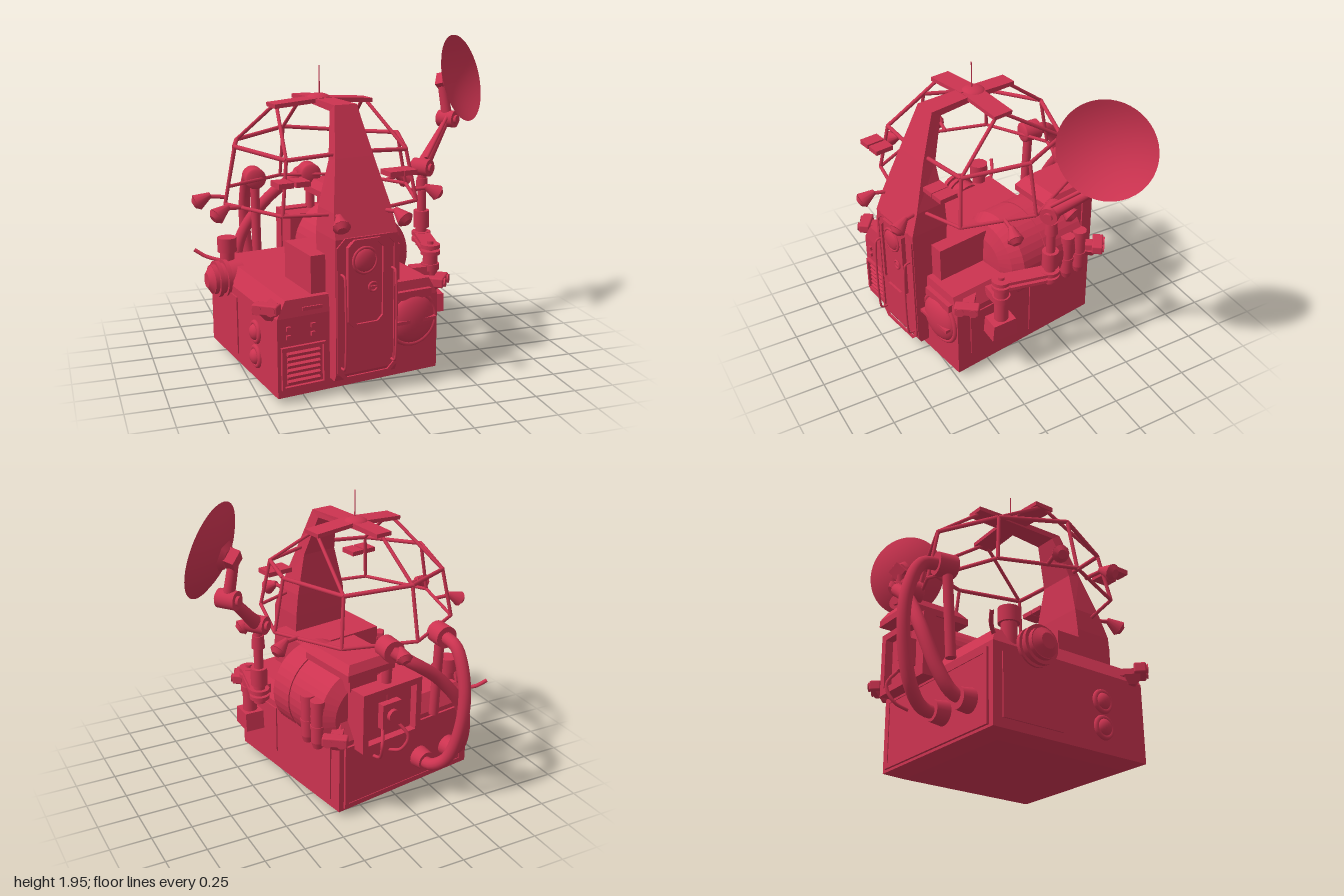
import * as THREE from 'three';
import { RoundedBoxGeometry } from 'three/addons/geometries/RoundedBoxGeometry.js';

const red = new THREE.MeshStandardMaterial({ color: 0xcc3350 });
const redThin = new THREE.MeshStandardMaterial({ color: 0xcc3350, side: THREE.DoubleSide });
const V = (x, y, z) => new THREE.Vector3(x, y, z);
const UP = V(0, 1, 0);

function add(parent, name, geo, pos = [0, 0, 0], rot = [0, 0, 0], mat = red) {
  const m = new THREE.Mesh(geo, mat);
  m.name = name;
  m.position.set(...pos);
  m.rotation.set(...rot);
  parent.add(m);
  return m;
}
const box = (p, name, size, pos, rot) => add(p, name, new THREE.BoxGeometry(...size), pos, rot);
// cylinder or cone between two points
function rod(p, name, a, b, r1, r2 = r1, sides = 20) {
  const d = V(...b).sub(V(...a));
  const m = add(p, name, new THREE.CylinderGeometry(r2, r1, d.length(), sides));
  m.position.copy(V(...a)).addScaledVector(d, 0.5);
  m.quaternion.setFromUnitVectors(UP, d.normalize());
  return m;
}
function pipe(p, name, pts, r, seg = 40) {
  const curve = new THREE.CatmullRomCurve3(pts.map(q => V(...q)));
  return add(p, name, new THREE.TubeGeometry(curve, seg, r, 14));
}
// loft of four-cornered sections: [outer z, outer y, inner z, inner y, half width]
function loft(sections) {
  const pos = [], idx = [], n = sections.length;
  for (const [zo, yo, zi, yi, w] of sections) pos.push(-w, yo, zo, w, yo, zo, w, yi, zi, -w, yi, zi);
  for (let i = 0; i < n - 1; i++) for (let k = 0; k < 4; k++) {
    const a = i * 4 + k, b = i * 4 + (k + 1) % 4;
    idx.push(a, b, b + 4, a, b + 4, a + 4);
  }
  const e = (n - 1) * 4;
  idx.push(0, 2, 1, 0, 3, 2, e, e + 1, e + 2, e, e + 2, e + 3);
  let g = new THREE.BufferGeometry();
  g.setAttribute('position', new THREE.Float32BufferAttribute(pos, 3));
  g.setIndex(idx);
  g = g.toNonIndexed();
  g.computeVertexNormals();
  return g;
}
// rectangular frame made of four bars, facing z
function frame(p, name, w, h, t, d, x, y, z) {
  for (const s of [-1, 1]) {
    box(p, name, [w, t, d], [x, y + s * (h - t) / 2, z]);
    box(p, name, [t, h, d], [x + s * (w - t) / 2, y, z]);
  }
}
// flat plate with cut corners, facing z
function cutPlate(w, h, c, depth, rim) {
  const outline = (s, w, h, c) => {
    const a = w / 2, b = h / 2;
    [[-a + c, -b], [a - c, -b], [a, -b + c], [a, b - c], [a - c, b], [-a + c, b], [-a, b - c], [-a, -b + c]]
      .forEach(([x, y], i) => i ? s.lineTo(x, y) : s.moveTo(x, y));
    s.closePath();
    return s;
  };
  const shape = outline(new THREE.Shape(), w, h, c);
  if (rim) shape.holes.push(outline(new THREE.Path(), w - 2 * rim, h - 2 * rim, c * 0.8));
  return new THREE.ExtrudeGeometry(shape, { depth, bevelEnabled: false });
}

function buildHull(g) {
  add(g, 'hull', loft([[0.44, 0, -0.44, 0, 0.43], [0.53, 0.035, -0.53, 0.035, 0.515],
    [0.53, 0.5, -0.53, 0.5, 0.515], [0.52, 0.6, -0.47, 0.6, 0.46]]));
  box(g, 'cabBlock', [0.57, 0.24, 0.36], [0, 0.7, 0.3]);
  // side and back panels
  box(g, 'sidePanel', [0.012, 0.31, 0.31], [0.517, 0.305, 0.28]);
  box(g, 'sidePanel', [0.012, 0.41, 0.42], [0.517, 0.295, -0.24]);
  box(g, 'sidePanel', [0.012, 0.36, 0.4], [-0.517, 0.27, -0.27]);
  box(g, 'backPanel', [0.9, 0.36, 0.02], [0, 0.26, -0.53]);
  frame(g, 'backFrame', 0.96, 0.42, 0.03, 0.03, 0, 0.26, -0.53);
  // front vent
  frame(g, 'ventFrame', 0.27, 0.25, 0.015, 0.03, -0.36, 0.21, 0.535);
  for (let i = 0; i < 6; i++) box(g, 'ventSlat', [0.2, 0.018, 0.03], [-0.36, 0.125 + i * 0.033, 0.532], [0.4, 0, 0]);
  for (const x of [-0.45, -0.3]) for (const y of [0.39, 0.44]) box(g, 'button', [0.025, 0.025, 0.02], [x, y, 0.535]);
  box(g, 'frontSlot', [0.12, 0.02, 0.02], [-0.3, 0.54, 0.525]);
  // round front port
  add(g, 'frontPort', new THREE.SphereGeometry(0.15, 32, 20), [0.34, 0.37, 0.53]).scale.z = 0.42;
  add(g, 'frontPortRing', new THREE.TorusGeometry(0.155, 0.015, 10, 40), [0.34, 0.37, 0.535]);
  box(g, 'frontPortBand', [0.27, 0.02, 0.06], [0.34, 0.37, 0.56]);
  box(g, 'frontPortHood', [0.24, 0.05, 0.05], [0.34, 0.52, 0.53]);
  // side portholes
  for (const y of [0.18, 0.33]) {
    add(g, 'sidePortRing', new THREE.TorusGeometry(0.055, 0.016, 10, 28), [-0.517, y, 0.22], [0, Math.PI / 2, 0]);
    add(g, 'sidePort', new THREE.SphereGeometry(0.05, 20, 14), [-0.517, y, 0.22]).scale.x = 0.8;
  }
}

function buildTower(g) {
  add(g, 'tower', loft([[0.59, 0.1, 0.4, 0.1, 0.195], [0.61, 0.14, 0.4, 0.14, 0.195], [0.61, 0.93, 0.36, 0.93, 0.195],
    [0.56, 1.07, 0.36, 1.07, 0.18], [0.46, 1.35, 0.375, 1.33, 0.12], [0.35, 1.63, 0.29, 1.59, 0.07],
    [-0.02, 1.635, -0.02, 1.6, 0.055], [-0.27, 1.625, -0.27, 1.6, 0.055]]));
  for (const s of [-1, 1]) box(g, 'roofWing', [0.31, 0.025, 0.13], [s * 0.16, 1.615, 0.02], [0, 0, -s * 0.07]);
  add(g, 'roofDome', new THREE.SphereGeometry(0.075, 24, 8, 0, Math.PI * 2, 0, Math.PI / 2), [0, 1.62, 0]).scale.y = 0.5;
  rod(g, 'whipAntenna', [0, 1.64, 0.01], [0, 1.82, 0.01], 0.004, 0.003, 8);
  // door
  add(g, 'doorSurround', cutPlate(0.38, 0.83, 0.05, 0.012, 0.02), [0, 0.52, 0.608]);
  add(g, 'doorFrame', cutPlate(0.24, 0.51, 0.04, 0.03, 0.022), [-0.01, 0.67, 0.608]);
  add(g, 'door', cutPlate(0.2, 0.47, 0.035, 0.015), [-0.01, 0.67, 0.608]);
  add(g, 'doorWindow', new THREE.SphereGeometry(0.07, 28, 16), [-0.02, 0.8, 0.62]).scale.z = 0.4;
  add(g, 'doorWindowRing', new THREE.TorusGeometry(0.073, 0.009, 8, 32), [-0.02, 0.8, 0.625]);
  add(g, 'doorHandleRing', new THREE.TorusGeometry(0.026, 0.007, 8, 20), [0.03, 0.64, 0.628]);
  box(g, 'doorHandle', [0.05, 0.01, 0.012], [0.03, 0.64, 0.628]);
  for (const s of [-1, 1]) {
    const x = s * 0.16;
    pipe(g, 'handrail', [[x, 0.18, 0.6], [x, 0.185, 0.65], [x, 0.22, 0.66], [x, 0.68, 0.66], [x, 0.725, 0.65], [x, 0.73, 0.6]], 0.007);
  }
  // small louvre plates beside the tower
  for (const x of [-0.44, -0.34, 0.24, 0.33]) box(g, 'sidePlate', [0.085, 0.03, 0.12], [x, 1.24, 0.46]);
}

function buildCage(g) {
  const at = (i, r, y) => { const a = i * Math.PI / 4; return [Math.sin(a) * r, y, Math.cos(a) * r]; };
  const lower = i => at(i, 0.6, 1.05);
  const upper = i => at(i, 0.535, i % 2 ? 1.35 : 1.38);
  // seven corners, open at the front where the rails meet the tower
  for (let i = 1; i < 8; i++) {
    if (i < 7) {
      rod(g, 'lowerRail', lower(i), lower(i + 1), 0.011, 0.011, 8);
      rod(g, 'upperRail', upper(i), upper(i + 1), 0.013, 0.013, 8);
    }
    rod(g, 'cageStrut', lower(i), upper(i), 0.011, 0.011, 8);
  }
  for (const [i, s] of [[1, 1], [7, -1]]) {
    rod(g, 'lowerRail', lower(i), [s * 0.16, 1.05, 0.5], 0.011, 0.011, 8);
    rod(g, 'upperRail', upper(i), [s * 0.11, 1.37, 0.42], 0.013, 0.013, 8);
  }
  // struts up to the wing tips and the rear end of the roof
  for (const [i, x, z] of [[1, 0.29, 0.05], [3, 0.29, 0], [7, -0.29, 0.05], [5, -0.29, 0], [4, 0, -0.25]])
    rod(g, 'roofStrut', upper(i), [x, 1.6, z], 0.011, 0.011, 8);
  // lamps around the lower rail
  for (const a of [-1.35, -1.86, 1.83, 1.25, 0.26, -0.28, 2.88]) {
    const p = (r, y) => [Math.sin(a) * r, y, Math.cos(a) * r];
    rod(g, 'lampArm', p(0.55, 1.05), p(0.66, 1.06), 0.012, 0.012, 8);
    rod(g, 'lampCone', p(0.65, 1.07), p(0.73, 1.025), 0.016, 0.05, 12);
    rod(g, 'lampLens', p(0.73, 1.025), p(0.75, 1.012), 0.05, 0.025, 12);
  }
}

function buildMachinery(g) {
  // big drum lying front to back
  const profile = [[0, 0.16], [0.14, 0.15], [0.23, 0.12], [0.28, 0.06], [0.28, -0.1], [0.272, -0.1], [0.272, -0.12],
    [0.28, -0.12], [0.28, -0.42], [0.2, -0.47], [0, -0.47]].reverse().map(([r, y]) => new THREE.Vector2(r, y));
  const drum = new THREE.LatheGeometry(profile, 40).toNonIndexed();
  drum.computeVertexNormals();
  add(g, 'drum', drum, [0.3, 0.62, 0], [Math.PI / 2, 0, 0]);
  // hatch above the drum
  add(g, 'hatch', loft([[-0.19, 0.93, -0.6, 0.93, 0.17], [-0.19, 0.97, -0.6, 0.97, 0.17], [-0.25, 1.02, -0.57, 1.02, 0.14]]), [0.34, 0, 0]);
  box(g, 'hatchSupport', [0.2, 0.14, 0.2], [0.32, 0.87, -0.4]);
  // rear equipment box with open frame
  box(g, 'rearBox', [0.42, 0.36, 0.16], [0.2, 0.64, -0.5]);
  frame(g, 'rearBoxFrame', 0.44, 0.38, 0.04, 0.08, 0.2, 0.64, -0.59);
  box(g, 'rearUnit', [0.14, 0.16, 0.07], [0.2, 0.64, -0.59]);
  rod(g, 'rearUnitKnob', [0.2, 0.64, -0.61], [0.2, 0.64, -0.65], 0.04);
  for (const s of [-1, 1]) pipe(g, 'rearCable', [[0.2 + s * 0.05, 0.58, -0.6], [0.2 + s * 0.1, 0.48, -0.66], [0.2 + s * 0.08, 0.38, -0.62], [0.2 + s * 0.06, 0.34, -0.53]], 0.01, 24);
  // twin canisters on the side
  for (const z of [-0.29, -0.39]) {
    rod(g, 'canister', [0.57, 0.48, z], [0.57, 0.71, z], 0.04);
    rod(g, 'canisterCap', [0.57, 0.71, z], [0.57, 0.75, z], 0.045);
    rod(g, 'canisterFoot', [0.57, 0.44, z], [0.57, 0.48, z], 0.028, 0.04);
    rod(g, 'canisterBand', [0.57, 0.57, z], [0.57, 0.59, z], 0.045);
  }
  // ribbed tank on the other side
  rod(g, 'sideTank', [-0.42, 0.52, -0.26], [-0.61, 0.52, -0.26], 0.1, 0.09, 28);
  for (const x of [-0.51, -0.56]) rod(g, 'sideTankRib', [x, 0.52, -0.26], [x - 0.025, 0.52, -0.26], 0.112, 0.112, 28);
  rod(g, 'sideTankEnd', [-0.61, 0.52, -0.26], [-0.64, 0.52, -0.26], 0.085, 0.045, 28);
  rod(g, 'chimney', [-0.46, 0.5, -0.38], [-0.46, 0.66, -0.38], 0.045);
  rod(g, 'chimneyCap', [-0.46, 0.65, -0.38], [-0.46, 0.74, -0.38], 0.06);
  // spotlight clusters on three corners
  for (const [x, z] of [[-0.53, 0.46], [0.53, 0.46], [0.54, -0.53]]) {
    const c = new THREE.Group();
    c.name = 'cornerLight';
    c.position.set(x, 0.55, z);
    c.rotation.y = Math.atan2(Math.sign(x), Math.sign(z));
    g.add(c);
    box(c, 'cornerBracket', [0.07, 0.04, 0.16], [0, 0, -0.05]);
    add(c, 'cornerHousing', new RoundedBoxGeometry(0.15, 0.06, 0.07, 2, 0.01), [0, 0.01, 0.04]);
    add(c, 'cornerFoot', loft([[0.01, -0.07, -0.03, -0.07, 0.02], [0.04, -0.02, -0.05, -0.02, 0.05]]));
    for (const s of [-1, 1]) rod(c, 'cornerLamp', [s * 0.04, 0.01, 0.06], [s * 0.04, 0.01, 0.085], 0.02, 0.028, 14);
  }
  pipe(g, 'rearHook', [[-0.46, 0.56, -0.48], [-0.54, 0.58, -0.56], [-0.6, 0.62, -0.6]], 0.012, 12);
}

function buildPipes(g) {
  // two ports held above the back edge, each feeding a hose to the back wall
  for (const [x, z] of [[-0.52, -0.52], [-0.14, -0.56]]) {
    rod(g, 'hosePort', [x, 1.05, z + 0.05], [x, 1.05, z - 0.06], 0.068, 0.068, 24);
    add(g, 'hosePortCap', new THREE.SphereGeometry(0.068, 24, 14), [x, 1.05, z + 0.05]).scale.z = 0.3;
    rod(g, 'hosePost', [x, 0.5, z + 0.04], [x, 1.04, z + 0.01], 0.03);
  }
  pipe(g, 'hose', [[-0.52, 1.05, -0.56], [-0.53, 1.02, -0.67], [-0.54, 0.82, -0.755], [-0.53, 0.55, -0.76], [-0.49, 0.3, -0.69], [-0.44, 0.22, -0.6], [-0.43, 0.21, -0.46]], 0.038);
  pipe(g, 'hose', [[-0.14, 1.05, -0.6], [-0.2, 1.01, -0.67], [-0.4, 0.86, -0.69], [-0.58, 0.62, -0.69], [-0.65, 0.35, -0.61], [-0.66, 0.24, -0.53], [-0.65, 0.22, -0.4]], 0.038);
  for (const [x, z] of [[-0.43, -0.5], [-0.66, -0.46]]) rod(g, 'hoseFlange', [x, 0.215, z + 0.03], [x - 0.01, 0.215, z - 0.05], 0.07, 0.06);
}

function buildDishArm(g) {
  // pivot column on the side of the hull
  add(g, 'armFoot', loft([[0.31, 0.31, 0.14, 0.31, 0.06], [0.3, 0.42, 0.15, 0.43, 0.06]]), [0.41, 0, 0]);
  rod(g, 'armColumn', [0.41, 0.42, 0.22], [0.41, 0.66, 0.22], 0.045);
  rod(g, 'armColumnCollar', [0.41, 0.56, 0.22], [0.41, 0.6, 0.22], 0.055);
  box(g, 'armMount', [0.14, 0.06, 0.08], [0.35, 0.56, 0.22]);
  for (const y of [0.67, 0.71]) {
    box(g, 'armLink', [0.1, 0.02, 0.33], [0.44, y, 0.07], [0, -0.2, 0]);
    for (const [x, z] of [[0.41, 0.22], [0.47, -0.08]]) rod(g, 'armLinkEnd', [x, y - 0.012, z], [x, y + 0.012, z], 0.06);
  }
  rod(g, 'armPin', [0.41, 0.64, 0.22], [0.41, 0.74, 0.22], 0.02);
  rod(g, 'mastSocket', [0.47, 0.63, -0.08], [0.47, 0.76, -0.08], 0.035);
  rod(g, 'mastSleeve', [0.47, 0.75, -0.08], [0.47, 0.86, -0.08], 0.05);
  rod(g, 'mast', [0.47, 0.85, -0.08], [0.47, 1.1, -0.08], 0.028);
  rod(g, 'mastCollar', [0.47, 0.99, -0.08], [0.47, 1.07, -0.08], 0.04, 0.035);
  // elbows, tapering arm and ram
  const low = [0.47, 1.14, -0.08], high = [0.72, 1.41, -0.27];
  for (const [x, y, z] of [low, high]) {
    rod(g, 'elbow', [x - 0.035, y, z - 0.046], [x + 0.035, y, z + 0.046], 0.055);
    rod(g, 'elbowPin', [x - 0.045, y, z - 0.06], [x + 0.045, y, z + 0.06], 0.028);
  }
  rod(g, 'arm', low, high, 0.045, 0.02);
  rod(g, 'armRam', [0.49, 1.2, -0.06], [0.71, 1.44, -0.24], 0.012);
  rod(g, 'dishStem', high, [0.69, 1.62, -0.29], 0.035, 0.03);
  // dish
  const dish = new THREE.Group();
  dish.name = 'dish';
  dish.position.set(0.785, 1.68, -0.205);
  dish.quaternion.setFromUnitVectors(UP, V(0.65, 0.25, 0.72).normalize());
  g.add(dish);
  const bowl = [];
  for (let i = 0; i <= 10; i++) bowl.push(new THREE.Vector2(0.28 * i / 10, -0.08 * (1 - (i / 10) ** 2)));
  add(dish, 'dishBowl', new THREE.LatheGeometry(bowl, 48), [0, 0, 0], [0, 0, 0], redThin);
  rod(dish, 'dishHub', [0, -0.083, 0], [0, -0.11, 0], 0.09, 0.065, 6);
  box(dish, 'dishGimbal', [0.09, 0.07, 0.09], [0, -0.13, 0]);
}

export function createModel() {
  const model = new THREE.Group();
  model.name = 'cabin';
  const body = new THREE.Group();
  body.name = 'body';
  body.position.set(-0.245, 0, 0.045);
  body.rotation.y = 0.16;
  model.add(body);
  for (const build of [buildHull, buildTower, buildCage, buildMachinery]) build(body);
  buildPipes(model);
  buildDishArm(model);
  return model;
}
